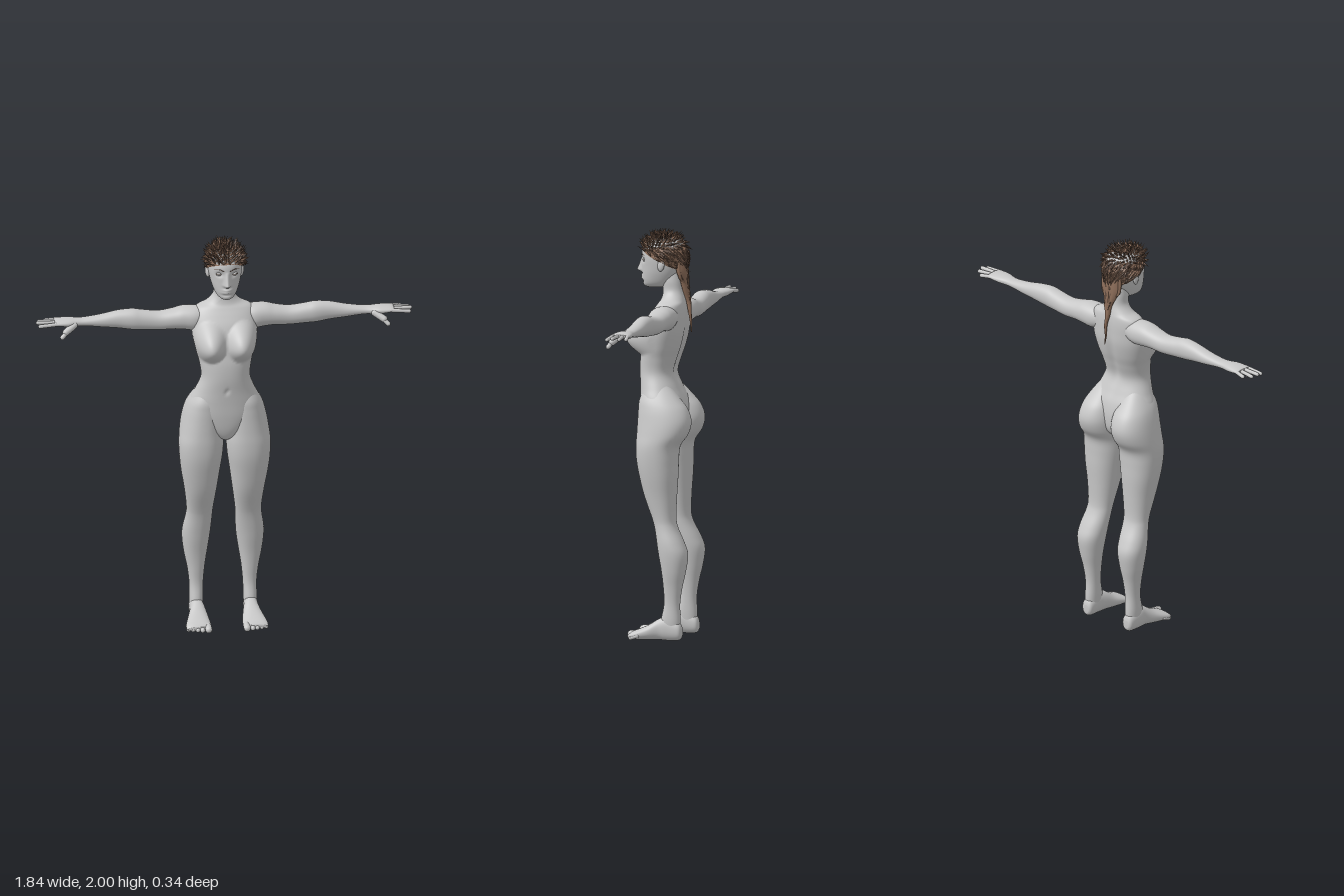
import * as THREE from 'three';
import { mergeGeometries } from 'three/addons/utils/BufferGeometryUtils.js';

const skin = new THREE.MeshStandardMaterial({ color: 0xc8c8c8 });
skin.name = 'grey skin';
const hairMat = new THREE.MeshStandardMaterial({ color: 0x8c6d59 });
hairMat.name = 'brown hair';
const darkHair = new THREE.MeshStandardMaterial({ color: 0x604b3f });
darkHair.name = 'dark brown hair';

const gauss = (d, w) => Math.exp(-(d * d) / (w * w));

// Smooth value of a table column between rows
function spline(rows, s, k) {
  const i = Math.min(Math.floor(s), rows.length - 2), f = s - i;
  const at = (j) => rows[Math.max(0, Math.min(rows.length - 1, j))][k];
  const [a, b, c, d] = [at(i - 1), at(i), at(i + 1), at(i + 2)];
  return b + 0.5 * f * (c - a + f * (2 * a - 5 * b + 4 * c - d + f * (3 * (b - c) + d - a)));
}

// Closed skin through rows [t, uMin, uMax, vMin, vMax]; place(t, u, v) gives the point
function loft(rows, place, segs = 40, steps = 5, power = 2.2) {
  const pos = [], index = [], rings = (rows.length - 1) * steps;
  const round = (c) => Math.sign(c) * Math.abs(c) ** (2 / power);
  for (let r = 0; r <= rings; r++) {
    const [t, u0, u1, v0, v1] = [0, 1, 2, 3, 4].map((k) => spline(rows, r / steps, k));
    for (let j = 0; j < segs; j++) {
      const a = (j / segs) * Math.PI * 2;
      pos.push(...place(t, (u0 + u1) / 2 + (u1 - u0) / 2 * round(Math.cos(a)),
        (v0 + v1) / 2 + (v1 - v0) / 2 * round(Math.sin(a))));
      if (r < rings) {
        const p = r * segs + j, q = r * segs + (j + 1) % segs;
        index.push(p, p + segs, q, q, p + segs, q + segs);
      }
    }
  }
  for (const r of [0, rings]) { // end caps
    const row = rows[r ? rows.length - 1 : 0], c = pos.length / 3;
    pos.push(...place(row[0], (row[1] + row[2]) / 2, (row[3] + row[4]) / 2));
    for (let j = 0; j < segs; j++) {
      const p = r * segs + j, q = r * segs + (j + 1) % segs;
      index.push(...(r ? [p, c, q] : [p, q, c]));
    }
  }
  // Turn the faces outward if the enclosed volume is negative
  let volume = 0;
  const P = (i) => new THREE.Vector3().fromArray(pos, i * 3);
  for (let i = 0; i < index.length; i += 3) volume += P(index[i]).dot(P(index[i + 1]).cross(P(index[i + 2])));
  if (volume < 0) index.reverse();
  const g = new THREE.BufferGeometry();
  g.setAttribute('position', new THREE.Float32BufferAttribute(pos, 3));
  g.setIndex(index);
  g.computeVertexNormals();
  return g;
}

function capsule(a, b, r) {
  const A = new THREE.Vector3(...a), B = new THREE.Vector3(...b), d = B.clone().sub(A);
  const g = new THREE.CapsuleGeometry(r, d.length(), 6, 12);
  g.applyQuaternion(new THREE.Quaternion().setFromUnitVectors(new THREE.Vector3(0, 1, 0), d.normalize()));
  return g.translate(...A.add(B).multiplyScalar(0.5).toArray());
}

export function createModel() {
  const model = new THREE.Group();
  const add = (name, g, m = skin) => {
    const mesh = new THREE.Mesh(g, m);
    mesh.name = name;
    model.add(mesh);
  };

  // Torso and neck: [y, half width, back z, front z]
  const torso = [[0.965, 0.012, -0.03, 0.04], [0.985, 0.045, -0.07, 0.07], [1.03, 0.115, -0.11, 0.088],
    [1.1, 0.172, -0.12, 0.098], [1.17, 0.172, -0.11, 0.102], [1.23, 0.145, -0.085, 0.106],
    [1.3, 0.12, -0.062, 0.112], [1.37, 0.127, -0.08, 0.11], [1.43, 0.143, -0.1, 0.1],
    [1.5, 0.158, -0.115, 0.088], [1.56, 0.16, -0.118, 0.068], [1.605, 0.155, -0.118, 0.042],
    [1.638, 0.135, -0.115, 0.02], [1.662, 0.085, -0.11, 0.006], [1.7, 0.053, -0.1, 0],
    [1.75, 0.05, -0.095, 0.005], [1.8, 0.045, -0.09, 0]].map(([y, w, b, f]) => [y, -w, w, b, f]);
  add('torso', loft(torso, (y, x, z) => {
    if (z > 0) { // chest and navel
      const dy = (y - 1.472) / (y > 1.472 ? 0.115 : 0.085), dx = (Math.abs(x) - 0.083) / 0.086;
      z += 0.084 * Math.max(0, 1 - dx * dx - dy * dy) ** 1.25;
      z -= 0.008 * gauss(x, 0.01) * gauss(y - 1.24, 0.012);
    } else z += 0.014 * gauss(x, 0.025) * gauss(y - 1.4, 0.17); // spine groove
    return [x, y, z];
  }, 128, 6));

  // Head: [y, half width, back z, front z]
  const head = [[1.712, 0.012, 0.03, 0.08], [1.72, 0.034, -0.02, 0.099], [1.74, 0.052, -0.05, 0.106],
    [1.78, 0.068, -0.08, 0.107], [1.82, 0.078, -0.1, 0.107], [1.86, 0.084, -0.11, 0.11],
    [1.9, 0.084, -0.112, 0.106], [1.935, 0.072, -0.1, 0.086], [1.958, 0.045, -0.07, 0.05],
    [1.965, 0.012, -0.03, 0.01]].map(([y, w, b, f]) => [y, -w, w, b, f]);
  add('head', loft(head, (y, x, z) => {
    if (z > 0) {
      const up = y > 1.795 ? Math.max(0, 1 - (y - 1.795) / 0.07) : Math.max(0, 1 - (1.795 - y) / 0.014);
      z += 0.032 * up * gauss(x, 0.009 + 0.006 * up); // nose
      z -= 0.012 * gauss(Math.abs(x) - 0.036, 0.018) * gauss(y - 1.85, 0.014); // eye sockets
      z += 0.009 * gauss(x, 0.022) * (gauss(y - 1.77, 0.006) + gauss(y - 1.757, 0.006)); // lips
      z -= 0.005 * gauss(x, 0.03) * gauss(y - 1.743, 0.007);
    }
    return [x, y, z];
  }, 144, 9, 2.1));

  // Limb tables: [along, min, max, back, front]
  const leg = [[1.25, 0.04, 0.125, -0.05, 0.06], [1.18, 0.022, 0.171, -0.112, 0.088], [1.13, 0.01, 0.193, -0.152, 0.093],
    [1.07, 0.004, 0.208, -0.17, 0.095], [1.01, 0.004, 0.218, -0.155, 0.097], [0.95, 0.006, 0.224, -0.115, 0.099],
    [0.88, 0.012, 0.222, -0.108, 0.095], [0.8, 0.024, 0.213, -0.106, 0.08], [0.7, 0.038, 0.196, -0.1, 0.055],
    [0.6, 0.052, 0.184, -0.097, 0.018], [0.55, 0.056, 0.186, -0.108, 0.003], [0.48, 0.06, 0.198, -0.143, -0.01],
    [0.42, 0.066, 0.2, -0.163, -0.02], [0.34, 0.078, 0.19, -0.153, -0.034], [0.26, 0.09, 0.174, -0.135, -0.042],
    [0.18, 0.097, 0.165, -0.124, -0.045], [0.1, 0.099, 0.166, -0.127, -0.03], [0.05, 0.102, 0.163, -0.125, -0.03]];
  const foot = [[-0.135, 0.115, 0.15, 0.02, 0.06], [-0.12, 0.102, 0.164, 0.003, 0.09], [-0.06, 0.099, 0.168, 0, 0.115],
    [-0.02, 0.092, 0.17, 0.002, 0.105], [0.03, 0.083, 0.185, 0, 0.074], [0.08, 0.078, 0.198, 0, 0.052],
    [0.11, 0.078, 0.2, 0.002, 0.04], [0.125, 0.085, 0.192, 0.008, 0.028]];
  const arm = [[0.08, 1.54, 1.63, -0.1, 0], [0.14, 1.52, 1.64, -0.11, 0.02], [0.2, 1.525, 1.64, -0.11, 0.015],
    [0.25, 1.528, 1.628, -0.105, 0.008], [0.32, 1.525, 1.618, -0.1, 0], [0.4, 1.53, 1.628, -0.095, 0],
    [0.45, 1.533, 1.636, -0.092, 0], [0.52, 1.543, 1.63, -0.09, -0.008], [0.6, 1.552, 1.613, -0.086, -0.012],
    [0.68, 1.562, 1.602, -0.08, -0.015], [0.72, 1.563, 1.602, -0.08, -0.01], [0.76, 1.564, 1.604, -0.088, 0.002],
    [0.81, 1.572, 1.601, -0.092, 0.004], [0.83, 1.578, 1.596, -0.088, 0]];

  for (const [side, s] of [['left', 1], ['right', -1]]) {
    add(side + 'Leg', loft(leg, (y, x, z) => [s * x, y, z], 48));
    add(side + 'Foot', loft(foot, (z, x, y) => [s * x, y, z], 36));
    for (let i = 0; i < 5; i++) {
      const r = i ? 0.0125 - i * 0.0006 : 0.017, x = i ? 0.1 + i * 0.0225 : 0.094, tip = 0.138 - i * 0.007;
      add(side + 'Toe', capsule([s * x, 0.022, tip - 0.035], [s * x, r + 0.001, tip], r));
    }
    add(side + 'Arm', loft(arm, (x, y, z) => [s * x, y, z], 40));
    [[-0.08, -0.09, 0.875], [-0.056, -0.066, 0.91], [-0.031, -0.035, 0.92], [-0.007, -0.004, 0.912]].forEach(([z0, z1, tip], i) =>
      add(side + 'Finger', capsule([s * 0.81, 1.587, z0], [s * (tip - 0.009), 1.58 + (i % 3) * 0.004, z1], 0.0095)));
    add(side + 'ThumbBase', capsule([s * 0.735, 1.575, -0.014], [s * 0.778, 1.55, 0.01], 0.017));
    add(side + 'Thumb', capsule([s * 0.772, 1.552, 0.01], [s * 0.797, 1.529, 0.024], 0.0115));

    // Ear, eye, lashes and brow
    add(side + 'Ear', new THREE.SphereGeometry(1, 16, 12).scale(0.011, 0.031, 0.019)
      .rotateX(-0.2).rotateY(-s * 0.3).translate(s * 0.084, 1.832, -0.012));
    add(side + 'Eye', new THREE.SphereGeometry(0.016, 20, 14).scale(1, 0.75, 1).translate(s * 0.036, 1.849, 0.08));
    add(side + 'Lashes', new THREE.TorusGeometry(0.0168, 0.0014, 6, 18, Math.PI).rotateX(Math.PI / 2)
      .translate(s * 0.036, 1.85, 0.08), darkHair);
    const brow = new THREE.CatmullRomCurve3([[0.014, 1.869, 0.108], [0.038, 1.877, 0.099], [0.06, 1.87, 0.078]]
      .map(([x, y, z]) => new THREE.Vector3(s * x, y, z)));
    add(side + 'Brow', new THREE.TubeGeometry(brow, 12, 0.0022, 6), darkHair);
  }

  // Hair cap, tilted toward the nape
  const tilt = -0.52, size = [0.092, 0.102, 0.117], centre = [0, 1.868, -0.004];
  add('hairCap', new THREE.SphereGeometry(1, 40, 20, 0, Math.PI * 2, 0, 1.75).rotateX(tilt)
    .scale(...size).translate(...centre), hairMat);

  // Tufts: spiky on the crown, combed back and down elsewhere
  let seed = 7;
  const rnd = () => (seed = (seed * 16807) % 2147483647) / 2147483647;
  const tufts = [[], []], upAxis = new THREE.Vector3(0, 1, 0);
  const tuftCount = 330;
  for (let i = 0; i < tuftCount; i++) {
    const polar = Math.acos(1 - 1.1 * (i + 0.5) / tuftCount), around = i * 2.39996;
    const n = new THREE.Vector3(Math.sin(polar) * Math.cos(around), Math.cos(polar), Math.sin(polar) * Math.sin(around))
      .applyAxisAngle(new THREE.Vector3(1, 0, 0), tilt);
    const p = n.clone().multiply(new THREE.Vector3(...size)).add(new THREE.Vector3(...centre));
    const crown = THREE.MathUtils.smoothstep(n.y + 0.3 * n.z, 0.1, 0.7);
    // Combed direction along the scalp, plus lift on the crown
    const comb = new THREE.Vector3(0, -0.55, -0.8).projectOnPlane(n).multiplyScalar(1 - 0.6 * crown);
    const dir = n.clone().multiplyScalar(0.12 + 0.5 * crown).add(comb)
      .add(new THREE.Vector3((rnd() - 0.5) * (0.25 + 0.7 * crown), crown * 0.35, (rnd() - 0.5) * 0.6 * crown)).normalize();
    const len = 0.04 + 0.018 * rnd();
    const g = new THREE.ConeGeometry(0.0095, len, 4, 1, true).translate(0, len * 0.3, 0)
      .applyQuaternion(new THREE.Quaternion().setFromUnitVectors(upAxis, dir)).translate(p.x, Math.min(p.y, 1.958), p.z).toNonIndexed();
    g.computeVertexNormals();
    tufts[rnd() < 0.6 ? 0 : 1].push(g);
  }
  add('hairTufts', mergeGeometries(tufts[0]), hairMat);
  add('darkHairTufts', mergeGeometries(tufts[1]), darkHair);

  // Tail of hair hanging down the back, with loose locks
  const tail = [[1.88, 0.05, -0.11, -0.06], [1.8, 0.058, -0.121, -0.07], [1.75, 0.04, -0.124, -0.085],
    [1.68, 0.017, -0.134, -0.105], [1.6, 0.007, -0.142, -0.124], [1.5, 0.002, -0.143, -0.138]]
    .map(([y, w, b, f]) => [y, -w, w, b, f]);
  add('hairTail', loft(tail, (y, x, z) => [x + 0.003 * Math.sin(y * 60), y, z], 12, 4), hairMat);
  for (let i = 0; i < 9; i++) {
    const x = (i - 4) * 0.012, end = 1.6 + Math.abs(i - 4) * 0.028;
    const lock = [[1.87, 0.009], [1.78, 0.009], [(1.78 + end) / 2, 0.006], [end, 0.0008]].map(([y, r], k) => {
      const cx = x * [1.1, 1.1, 0.6, 0.25][k];
      const cz = [-0.106, -0.117, -0.127, -0.14][k] + Math.abs(x) * [0.3, 0.4, 0.35, 0.2][k];
      return [y, cx - r, cx + r, cz - r, cz + r];
    });
    add('hairLock', loft(lock, (y, u, v) => [u, y, v], 6, 4), i % 2 ? darkHair : hairMat);
  }
  return model;
}
